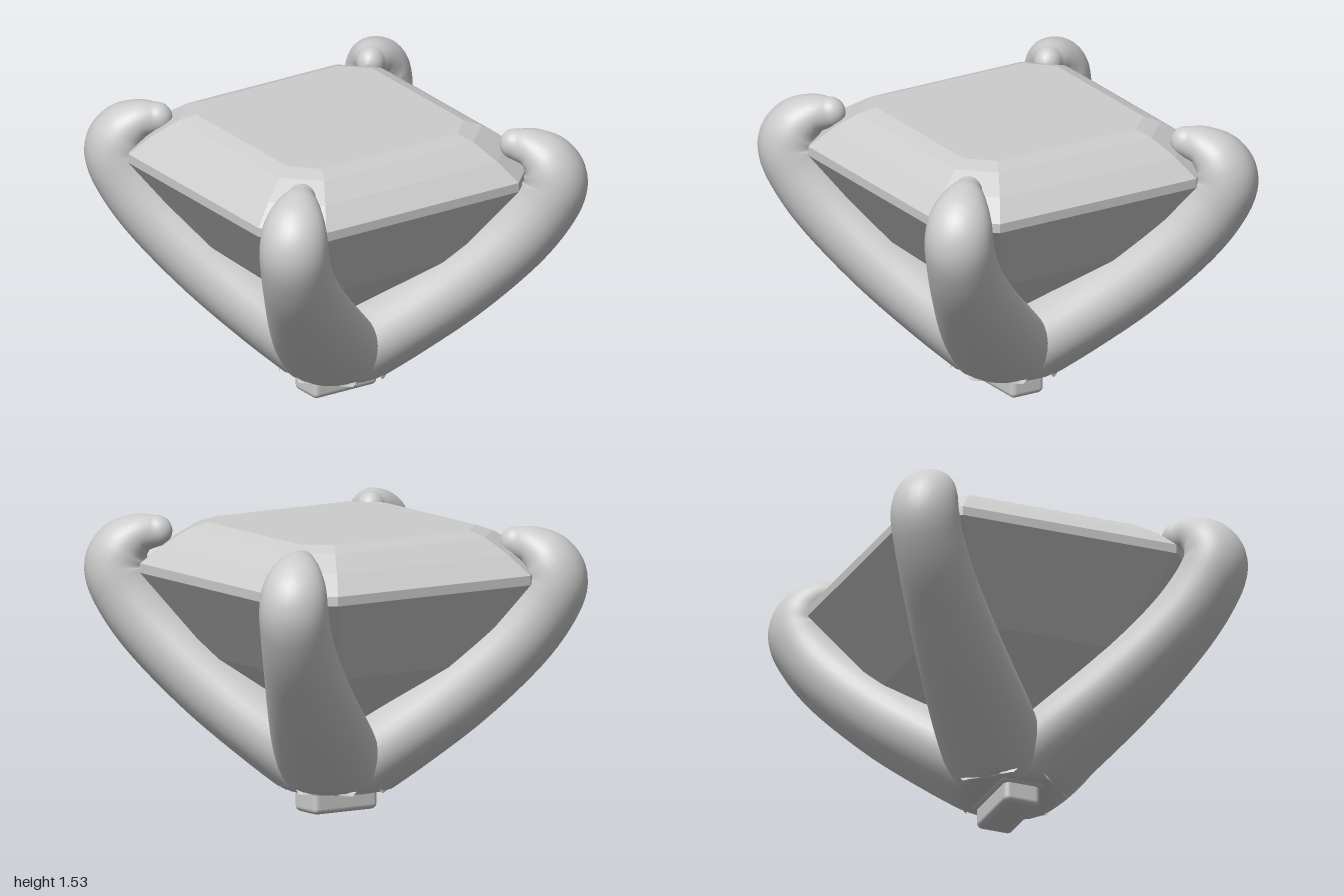
import * as THREE from 'three';
import { RoundedBoxGeometry } from 'three/addons/geometries/RoundedBoxGeometry.js';

// Joins closed rings of points into a skin; rings run bottom to top, counter-clockwise about the path.
function loft(rings, capStart, capEnd) {
  const n = rings[0].length, pos = [], idx = [];
  rings.forEach(r => r.forEach(p => pos.push(...p)));
  for (let i = 0; i < rings.length - 1; i++) {
    for (let j = 0; j < n; j++) {
      const a = i * n + j, b = i * n + (j + 1) % n;
      idx.push(a, b, b + n, a, b + n, a + n);
    }
  }
  const last = (rings.length - 1) * n;
  for (let j = 1; j < n - 1; j++) {
    if (capStart) idx.push(0, j + 1, j);
    if (capEnd) idx.push(last, last + j, last + j + 1);
  }
  const g = new THREE.BufferGeometry();
  g.setAttribute('position', new THREE.Float32BufferAttribute(pos, 3));
  g.setIndex(idx);
  return g;
}

// Step-cut stone: square outlines with cut corners [half width, corner cut, height]
function gemGeometry() {
  const steps = [
    [0.05, 0.015, 0.4], [0.54, 0.15, 0.8], [0.86, 0.255, 1.25], [0.86, 0.255, 1.3],
    [0.755, 0.215, 1.4], [0.635, 0.165, 1.485], [0.555, 0.13, 1.515],
  ];
  const rings = steps.map(([s, c, y]) => {
    const k = s - c;
    return [[s, k], [s, -k], [k, -s], [-k, -s], [-s, -k], [-s, k], [-k, s], [k, s]]
      .map(([x, z]) => [x, y, z]);
  });
  const g = loft(rings, true, true).toNonIndexed();
  g.computeVertexNormals();
  return g;
}

// Claw: an oval section swept outward and up, then curled over the stone
function clawGeometry() {
  const stations = [ // distance out, height, half width, half depth
    [-0.12, 0.085, 0.28, 0.21], [0.1, 0.24, 0.28, 0.21], [0.354, 0.42, 0.27, 0.208],
    [0.658, 0.65, 0.235, 0.2], [0.94, 0.905, 0.2, 0.187], [1.096, 1.1, 0.185, 0.18],
    [1.16, 1.25, 0.18, 0.175], [1.125, 1.36, 0.165, 0.15], [1.045, 1.425, 0.125, 0.108],
    [0.95, 1.445, 0.075, 0.082],
  ];
  const spine = new THREE.CatmullRomCurve3(
    stations.map(s => new THREE.Vector3(s[0], s[1], 0)), false, 'catmullrom', 0.5);
  const size = new THREE.CatmullRomCurve3(
    stations.map(s => new THREE.Vector3(s[2], s[3], 0)), false, 'catmullrom', 0.5);
  const sides = 32, steps = 54, capSteps = 7, rings = [];
  const addRing = (c, t, w, h) => {
    const ring = [];
    for (let j = 0; j < sides; j++) {
      const a = j / sides * Math.PI * 2, d = h * Math.cos(a);
      // the foot of the claw is cut flat
      ring.push([c.x + t.y * d, Math.max(0.12, c.y - t.x * d), -w * Math.sin(a)]);
    }
    rings.push(ring);
  };
  for (let i = 0; i <= steps; i++) {
    const u = i / steps, s = size.getPoint(u);
    addRing(spine.getPoint(u), spine.getTangent(u), s.x, s.y);
  }
  // rounded tip
  const end = spine.getPoint(1), dir = spine.getTangent(1), s = size.getPoint(1);
  for (let k = 1; k <= capSteps; k++) {
    const a = k / capSteps * Math.PI * 0.495;
    addRing(end.clone().addScaledVector(dir, 0.08 * Math.sin(a)), dir, s.x * Math.cos(a), s.y * Math.cos(a));
  }
  const g = loft(rings, false, true);
  g.computeVertexNormals();
  return g;
}

export function createModel() {
  const model = new THREE.Group();
  model.name = 'stoneSetting';
  const grey = new THREE.MeshStandardMaterial({ color: 0xcccccc });
  grey.name = 'light grey';

  const add = (name, geometry, x = 0, y = 0, z = 0) => {
    const m = new THREE.Mesh(geometry, grey);
    m.name = name;
    m.position.set(x, y, z);
    model.add(m);
    return m;
  };

  add('gemstone', gemGeometry(), -0.02, 0, -0.025);

  // Four claws on the diagonals
  const claw = clawGeometry();
  ['backLeftClaw', 'backRightClaw', 'frontRightClaw', 'frontLeftClaw'].forEach((name, k) => {
    add(name, claw).rotation.y = Math.PI / 4 + k * Math.PI / 2;
  });

  // Tab under the setting, with a small flare where it meets the claws
  add('baseTab', new RoundedBoxGeometry(0.4, 0.2, 0.2, 4, 0.03), 0, 0.1, 0);
  add('baseFlare', new RoundedBoxGeometry(0.44, 0.08, 0.25, 4, 0.03), 0, 0.145, 0);
  return model;
}
